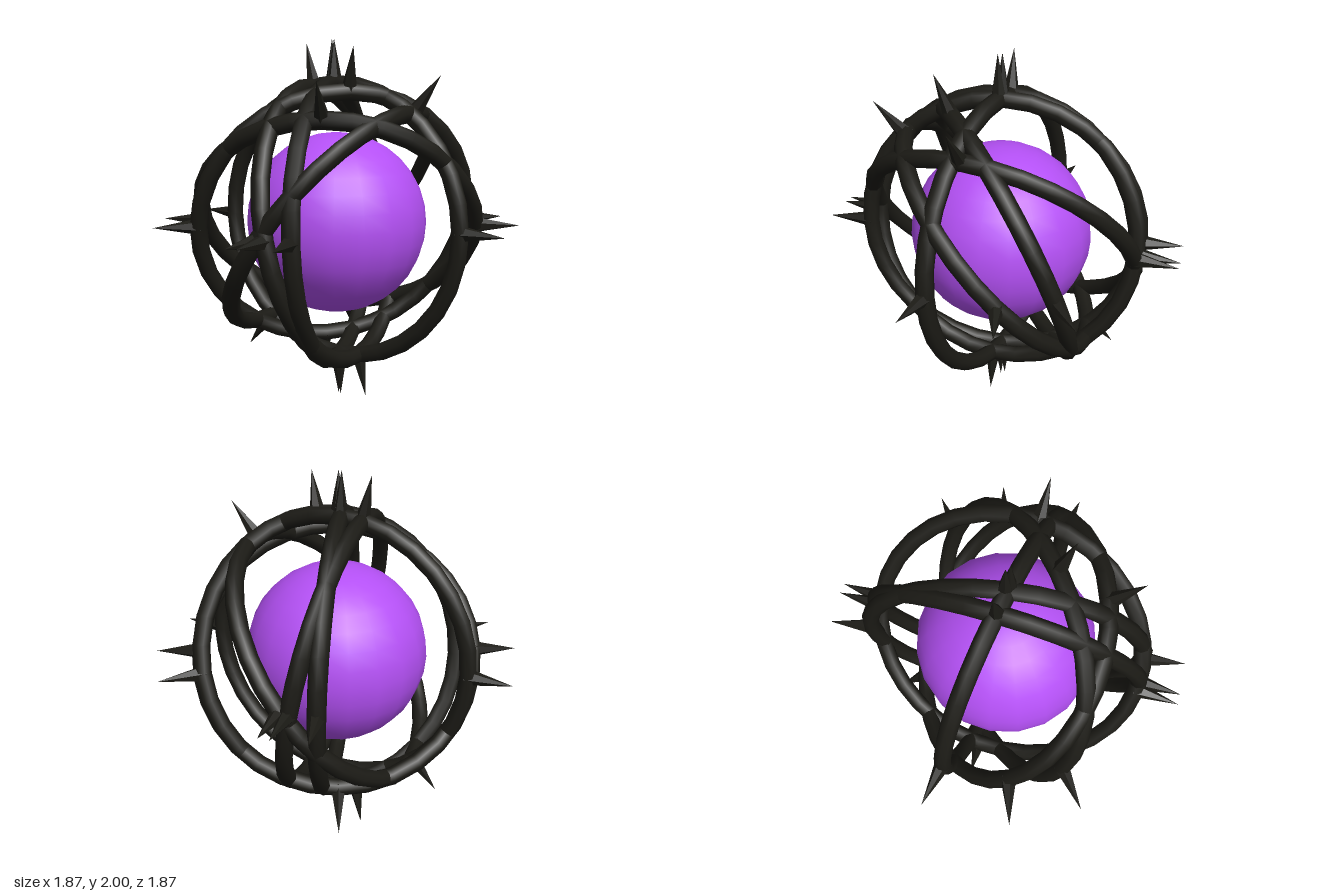
import * as THREE from 'three';

const RING_RADIUS = 0.76;
const TUBE_RADIUS = 0.047;

// Each ring: direction of its level spike (x, z) and direction of its upper spike (x, y, z)
const RINGS = [
  { level: [0.35, 0.94], upper: [-0.02, 1.0, 0.01] },
  { level: [0.73, 0.67], upper: [-0.45, 0.75, 0.49] },
  { level: [0.93, 0.35], upper: [-0.12, 0.93, 0.33] },
  { level: [0.77, -0.63], upper: [-0.016, 1.0, -0.02] },
  { level: [0.87, -0.48], upper: [-0.09, 0.98, -0.16] },
  { level: [0.9, -0.43], upper: [0.26, 0.79, 0.55] },
];

export function createModel() {
  const model = new THREE.Group();
  model.name = 'thornCage';

  const purple = new THREE.MeshStandardMaterial({ color: 0xb450f5 });
  const black = new THREE.MeshStandardMaterial({ color: 0x1c1b16 });
  const blackFlat = new THREE.MeshStandardMaterial({ color: 0x1c1b16, flatShading: true });

  // Core orb
  const orb = new THREE.Mesh(new THREE.SphereGeometry(0.5, 20, 16), purple);
  orb.name = 'orb';
  orb.position.y = 1;
  model.add(orb);

  const ringGeometry = new THREE.TorusGeometry(RING_RADIUS, TUBE_RADIUS, 8, 32);

  // Spike rooted inside the tube, tip at radius 1
  const spikeLength = 1 - RING_RADIUS + 0.01;
  const spikeGeometry = new THREE.ConeGeometry(0.046, spikeLength, 6);
  spikeGeometry.translate(0, 1 - spikeLength / 2, 0);

  RINGS.forEach(({ level, upper }, i) => {
    const group = new THREE.Group();
    group.name = `thornRing${i + 1}`;

    // Orthonormal frame: x along the level spikes, y along the upper spike
    const x = new THREE.Vector3(level[0], 0, level[1]).normalize();
    const y = new THREE.Vector3(...upper);
    y.addScaledVector(x, -y.dot(x)).normalize();
    const z = new THREE.Vector3().crossVectors(x, y);
    group.quaternion.setFromRotationMatrix(new THREE.Matrix4().makeBasis(x, y, z));
    group.position.y = 1;

    const ring = new THREE.Mesh(ringGeometry, black);
    ring.name = 'ring';
    group.add(ring);

    // Four spikes a quarter turn apart
    for (let k = 0; k < 4; k++) {
      const spike = new THREE.Mesh(spikeGeometry, blackFlat);
      spike.name = 'spike';
      spike.rotation.z = (k * Math.PI) / 2;
      group.add(spike);
    }
    model.add(group);
  });

  return model;
}
